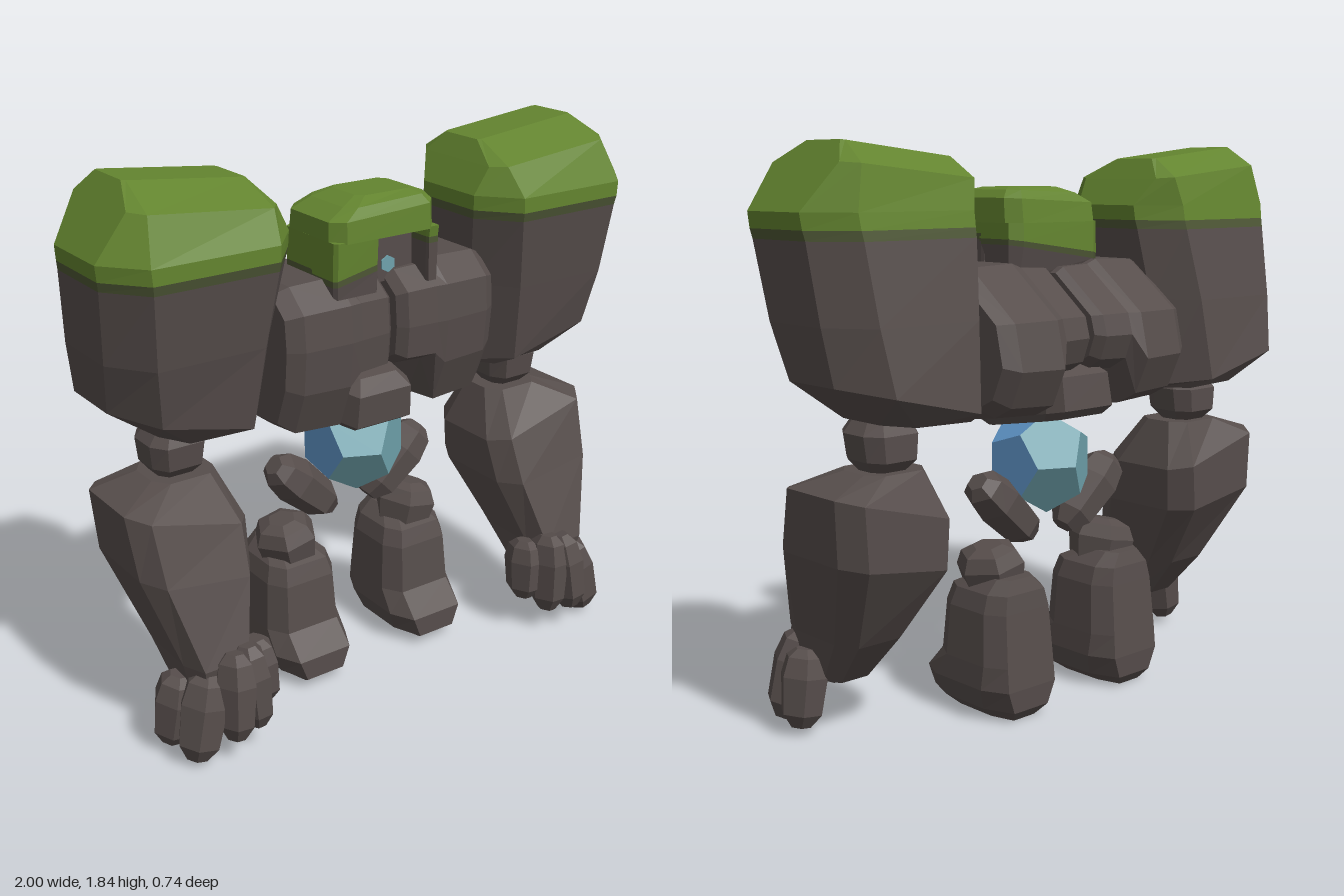
import * as THREE from 'three';

const flat = (name, color) => {
  const m = new THREE.MeshStandardMaterial({ color });
  m.name = name;
  m.flatShading = true;
  return m;
};

// Skin a stack of closed cross-sections, with flat facets and capped ends
function loft(rings, side = 1) {
  const R = rings.map(r => {
    const p = r.map(v => [v[0] * side, v[1], v[2]]);
    return side < 0 ? p.reverse() : p;
  });
  const pos = [];
  const tri = (a, b, c) => pos.push(...a, ...b, ...c);
  const n = R[0].length;
  for (let i = 0; i < R.length - 1; i++) {
    for (let j = 0; j < n; j++) {
      const k = (j + 1) % n;
      tri(R[i][j], R[i][k], R[i + 1][k]);
      tri(R[i][j], R[i + 1][k], R[i + 1][j]);
    }
  }
  const mid = r => [0, 1, 2].map(c => r.reduce((s, v) => s + v[c], 0) / n);
  const lo = R[0], hi = R[R.length - 1], ml = mid(lo), mh = mid(hi);
  for (let j = 0; j < n; j++) {
    const k = (j + 1) % n;
    tri(ml, lo[k], lo[j]);
    tri(mh, hi[j], hi[k]);
  }
  const g = new THREE.BufferGeometry();
  g.setAttribute('position', new THREE.Float32BufferAttribute(pos, 3));
  g.computeVertexNormals();
  return g;
}

// Rectangle with cut corners at height y; slope tilts it along x
function oct([y, x0, x1, z0, z1, slope = 0, cut = 0.18]) {
  const a = (x1 - x0) * cut, b = (z1 - z0) * cut * 1.45, xm = (x0 + x1) / 2;
  return [[x1, z1 - b], [x1, z0 + b], [x1 - a, z0], [x0 + a, z0],
    [x0, z0 + b], [x0, z1 - b], [x0 + a, z1], [x1 - a, z1]]
    .map(([x, z]) => [x, y + slope * (x - xm), z]);
}

// Rounded six-sided stone, tilted about x and z
function pebble(cx, cy, cz, h, rx, rz, tiltX = 0, tiltZ = 0) {
  const e = new THREE.Euler(tiltX, 0, tiltZ);
  return [[-1, 0.45], [-0.65, 0.9], [0.3, 1.05], [0.8, 0.85], [1, 0.45]].map(([t, s]) =>
    Array.from({ length: 6 }, (_, i) => {
      const a = i * Math.PI / 3;
      const v = new THREE.Vector3(Math.cos(a) * rx * s, t * h, -Math.sin(a) * rz * s).applyEuler(e);
      return [v.x + cx, v.y + cy, v.z + cz];
    }));
}

export function createModel() {
  const root = new THREE.Group();
  root.name = 'stoneGolem';
  const stone = flat('stone', 0x564d4b), moss = flat('moss', 0x63842f);
  const mossEdge = flat('mossEdge', 0x4c5534);
  const teal = flat('crystalTeal', 0x6fa2ac), blue = flat('crystalBlue', 0x5f95c8);
  const add = (name, geo, mat) => {
    const m = new THREE.Mesh(geo, mat);
    m.name = name;
    root.add(m);
    return m;
  };
  const block = (name, rows, mat, side) => add(name, loft(rows.map(oct), side), mat);

  // Chest cross-sections as [z, y]: short near the middle, long on the outside
  const shortCut = [[0.21, 1.28], [0.2, 1.17], [0.12, 1.13], [-0.08, 1.12], [-0.24, 1.12],
    [-0.31, 1.16], [-0.34, 1.24], [-0.32, 1.31], [-0.13, 1.46], [0.12, 1.46], [0.2, 1.4]];
  const longCut = [[0.215, 1.28], [0.2, 1.13], [0.14, 0.98], [0.0, 0.965], [-0.24, 1.0],
    [-0.32, 1.04], [-0.375, 1.16], [-0.34, 1.31], [-0.13, 1.475], [0.12, 1.475], [0.205, 1.4]];
  const slice = (x, prof, s = 1) => prof.map(([z, y]) => [x, 1.28 + (y - 1.28) * s, -0.07 + (z + 0.07) * s]);

  for (const side of [1, -1]) {
    const p = side > 0 ? 'left' : 'right';
    add(p + 'Chest', loft([slice(0.012, shortCut, 0.86), slice(0.04, shortCut, 0.97), slice(0.15, shortCut),
      slice(0.19, longCut), slice(0.36, longCut, 0.97), slice(0.41, longCut, 0.85)], side), stone);

    // Shoulder boulder with a moss top
    const brim = [1.57, 0.367, 0.99, -0.287, 0.244, 0, 0.17];
    const rim = [1.6, 0.363, 0.995, -0.28, 0.25, 0, 0.17];
    block(p + 'Shoulder', [[1.025, 0.445, 0.77, -0.29, 0.09, 0.03], [1.095, 0.425, 0.945, -0.367, 0.165, 0.24, 0.2],
      [1.33, 0.402, 0.97, -0.332, 0.208, 0, 0.18], brim], stone, side);
    block(p + 'ShoulderMossEdge', [brim, rim], mossEdge, side);
    block(p + 'ShoulderMoss', [rim, [1.65, 0.36, 1, -0.272, 0.25, 0, 0.17],
      [1.765, 0.41, 0.9, -0.25, 0.185, 0.1, 0.08], [1.83, 0.45, 0.855, -0.15, 0.03, 0.11, 0.03]], moss, side);

    // Elbow and forearm
    block(p + 'Elbow', [[0.87, 0.63, 0.75, -0.15, -0.03], [0.91, 0.6, 0.78, -0.19, 0.01],
      [0.99, 0.59, 0.79, -0.19, 0.02], [1.03, 0.62, 0.76, -0.16, 0]], stone, side);
    block(p + 'Forearm', [[0.18, 0.64, 0.8, 0.03, 0.24], [0.33, 0.605, 0.83, -0.1, 0.27, 0, 0.15],
      [0.59, 0.525, 0.92, -0.26, 0.19, 0.15, 0.13], [0.77, 0.51, 0.935, -0.26, 0.13, 0.27, 0.13],
      [0.875, 0.57, 0.79, -0.19, 0.02]], stone, side);

    // Fingers: [x, y, z, half height, radius x, radius z, tilt x, tilt z]
    [[0.84, 0.155, 0.14, 0.125, 0.075, 0.08, 0.05, 0.15],
      [0.8, 0.165, 0.245, 0.145, 0.08, 0.085, -0.1, 0.25],
      [0.705, 0.228, 0.29, 0.145, 0.065, 0.085, -0.15, 0.1],
      [0.635, 0.235, 0.275, 0.145, 0.06, 0.085, -0.1, -0.05],
      [0.57, 0.245, 0.22, 0.11, 0.058, 0.08, -0.1, -0.08]]
      .forEach((f, i) => add(p + 'Finger' + (i + 1), loft(pebble(...f), side), stone));

    // Thigh, knee and booted shin
    add(p + 'Thigh', loft(pebble(0.193, 0.672, -0.09, 0.155, 0.078, 0.09, 0, -0.82), side), stone);
    add(p + 'Knee', loft(pebble(0.255, 0.475, -0.1, 0.092, 0.108, 0.115, 0, -0.2), side), stone);
    block(p + 'Shin', [[0.008, 0.18, 0.32, -0.25, 0.07], [0.045, 0.13, 0.36, -0.28, 0.12],
      [0.12, 0.1, 0.39, -0.285, 0.12, 0, 0.15], [0.2, 0.103, 0.388, -0.278, 0.045, 0, 0.15],
      [0.37, 0.112, 0.377, -0.262, 0.03, 0, 0.15], [0.43, 0.13, 0.36, -0.255, 0.01, 0, 0.15],
      [0.475, 0.18, 0.32, -0.24, -0.08]], stone, side);
  }

  // Belly block between the chest halves, tipped up at the back
  const belly = block('belly', [[-0.085, -0.12, 0.12, -0.17, 0.18, 0, 0.1], [-0.06, -0.135, 0.135, -0.21, 0.21, 0, 0.1],
    [0.05, -0.13, 0.13, -0.21, 0.2, 0, 0.1], [0.09, -0.09, 0.09, -0.17, 0.15, 0, 0.1]], stone);
  belly.position.set(0, 1.03, -0.075);
  belly.rotation.x = 0.17;

  // Head: sloping moss line over stone, with a hollow for the eye
  const line = [1.5, -0.24, 0.16, -0.11, 0.09, 0.15, 0.1];
  const lineTop = [1.52, -0.24, 0.16, -0.112, 0.09, 0.14, 0.1];
  block('skull', [[1.42, -0.22, 0.15, -0.09, 0.09, 0, 0.08], line], stone);
  block('skullMossEdge', [line, lineTop], mossEdge);
  block('skullMoss', [lineTop, [1.6, -0.24, 0.16, -0.11, 0.09, 0, 0.1]], moss);
  // Cheeks: [name, x0, x1, moss line height, slope]
  for (const [name, x0, x1, y, slope] of [['rightCheek', -0.24, -0.07, 1.475, 0.2], ['leftCheek', 0.12, 0.16, 1.545, 0]]) {
    const low = [y, x0, x1, 0.04, 0.19, slope, 0.06], high = [y + 0.02, x0, x1, 0.04, 0.19, slope, 0.06];
    block(name, [[1.418, x0 + 0.004, x1, 0.04, 0.185, 0, 0.06], low], stone);
    block(name + 'MossEdge', [low, high], mossEdge);
    block(name + 'Moss', [high, [1.6, x0, x1, 0.04, 0.195, 0, 0.06]], moss);
  }
  add('eyeHollow', new THREE.BoxGeometry(0.19, 0.178, 0.04), stone).position.set(0.025, 1.507, 0.082);
  block('headMoss', [[1.595, -0.24, 0.16, -0.11, 0.2, 0, 0.1], [1.67, -0.238, 0.158, -0.1, 0.195, 0.05, 0.1],
    [1.7, -0.17, 0.135, -0.08, 0.17, 0.04, 0.1], [1.715, -0.1, 0.11, -0.05, 0.12, 0, 0.1]], moss);
  const eye = add('eye', new THREE.CylinderGeometry(0.028, 0.028, 0.008, 6), teal);
  eye.rotation.x = Math.PI / 2;
  eye.position.set(0.022, 1.475, 0.105);

  // Crystal core: one material group per face, blue at the sides, top and bottom
  const core = new THREE.DodecahedronGeometry(0.182);
  core.rotateY(1.017);
  core.computeVertexNormals();
  const nrm = core.attributes.normal;
  for (let i = 0; i < nrm.count; i += 9) core.addGroup(i, 9, Math.abs(nrm.getZ(i)) > 0.6 ? 0 : 1);
  const crystal = add('crystalCore', core, [teal, blue]);
  crystal.position.set(0.012, 0.81, -0.075);
  crystal.rotation.y = 0.12;

  return root;
}
